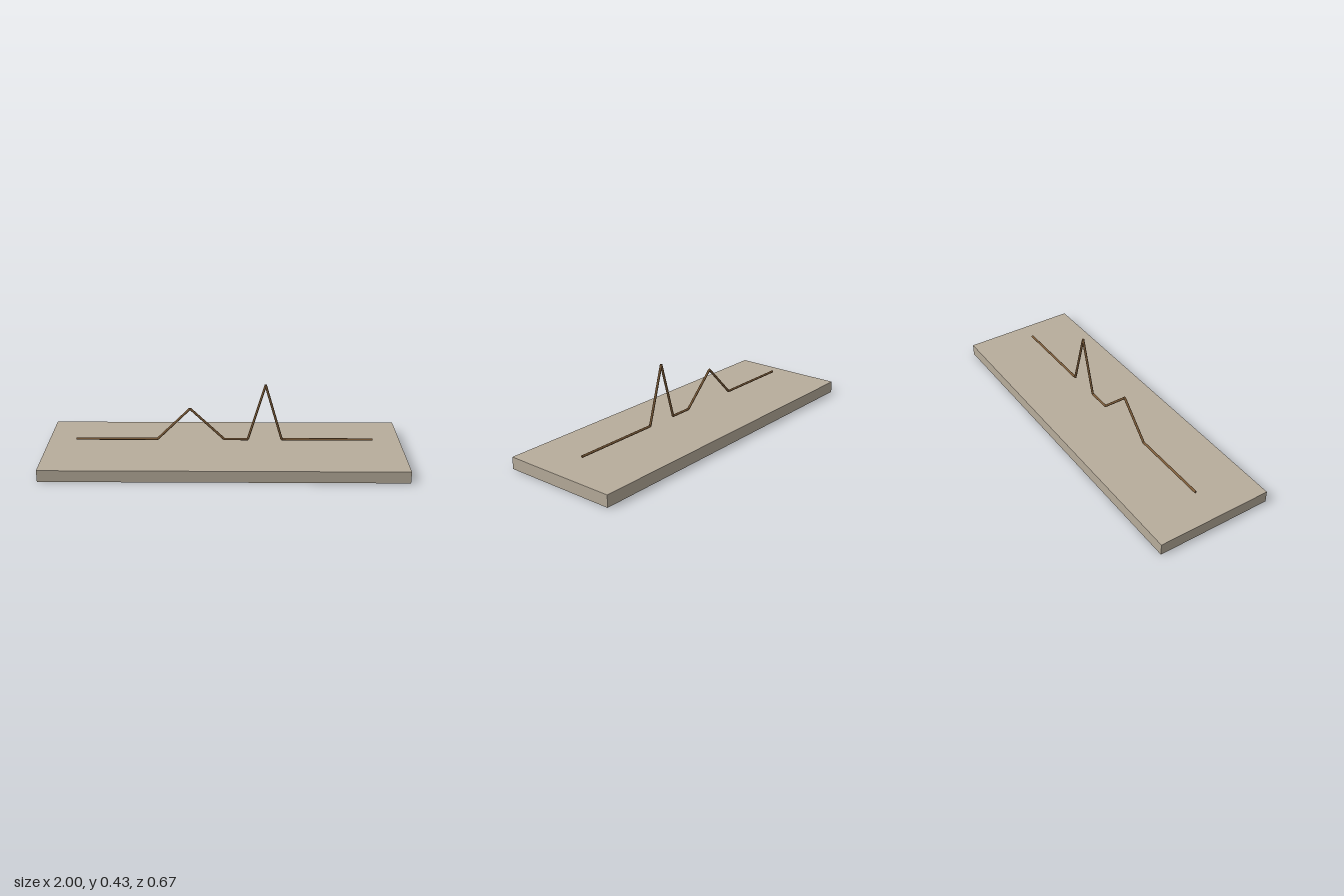
import * as THREE from 'three';

export function createModel() {
  const group = new THREE.Group();
  const stone = new THREE.MeshStandardMaterial({ color: 0xb8ad9c });
  const bronze = new THREE.MeshStandardMaterial({ color: 0x7a5a38 });

  // Flat rectangular slab
  const base = new THREE.Mesh(new THREE.BoxGeometry(2, 0.067, 0.667), stone);
  base.name = 'base';
  base.position.y = 0.0335;
  group.add(base);

  // Thin rod bent into a low peak and a tall peak, floating above the slab
  const low = 0.106;
  const points = [
    [-0.833, low], [-0.375, low], [-0.19, 0.29], [0, low],
    [0.133, low], [0.228, 0.431], [0.323, low], [0.833, low],
  ].map(([x, y]) => new THREE.Vector3(x, y, 0));

  const rod = new THREE.Group();
  rod.name = 'zigzagRod';
  const up = new THREE.Vector3(0, 1, 0);
  for (let i = 0; i < points.length - 1; i++) {
    const dir = points[i + 1].clone().sub(points[i]);
    const length = dir.length();
    const segment = new THREE.Mesh(new THREE.CylinderGeometry(0.0067, 0.0067, length, 16), bronze);
    segment.name = 'rodSegment';
    segment.position.copy(points[i]).add(points[i + 1]).multiplyScalar(0.5);
    segment.quaternion.setFromUnitVectors(up, dir.normalize());
    rod.add(segment);
  }
  group.add(rod);

  return group;
}
